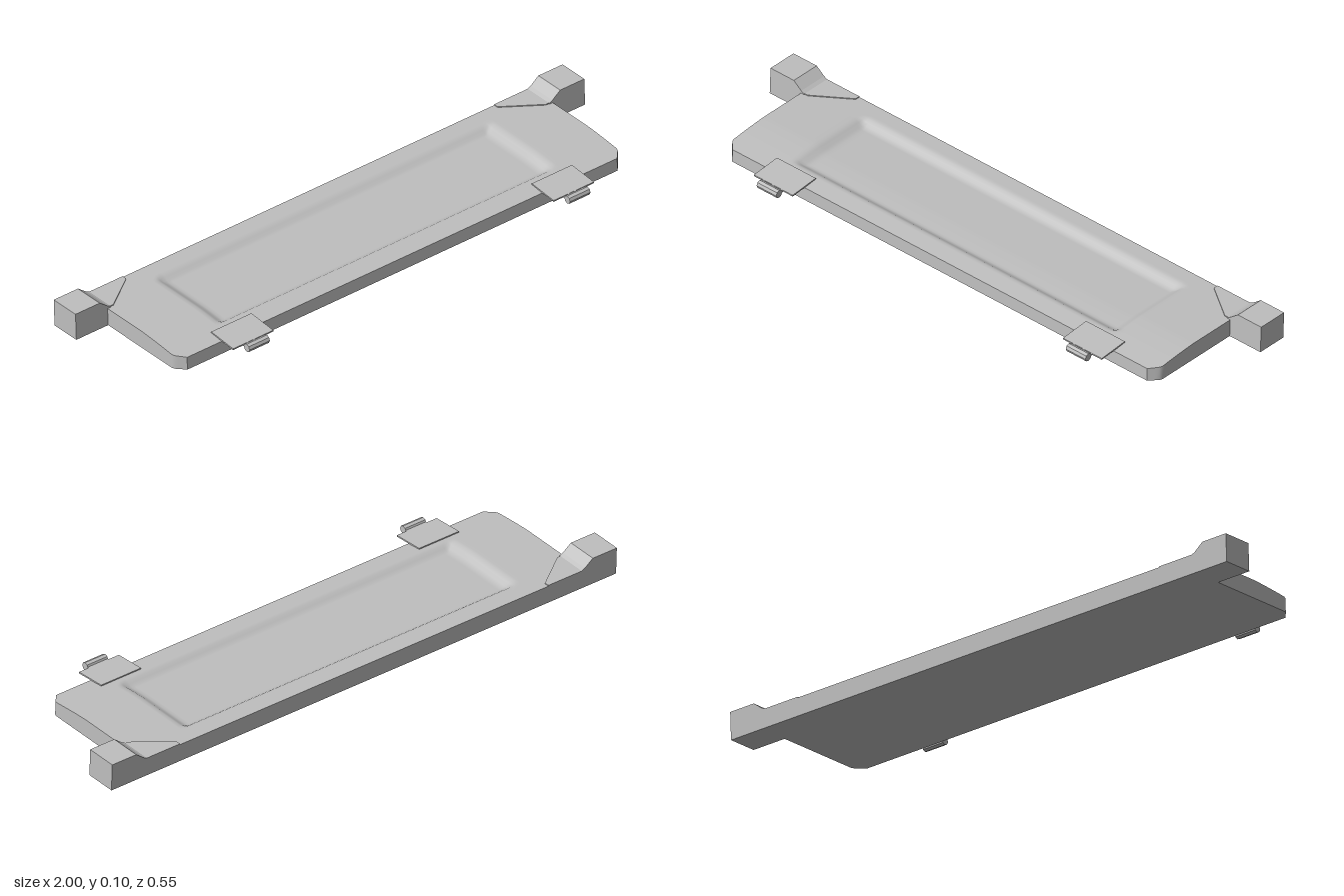
import * as THREE from 'three';

const grey = new THREE.MeshStandardMaterial({ color: 0xbfbfbf });
grey.name = 'lightGrey';

const TILT = 0.042; // the tray leans back slightly
const BACK = -0.272, FRONT = 0.188, HALF = 0.875;

function part(name, geometry, parent) {
  const mesh = new THREE.Mesh(geometry, grey);
  mesh.name = name;
  parent.add(mesh);
  return mesh;
}

// Upper surface: flat at the back, falling to the front, with a shallow rounded basin
function topHeight(x, z) {
  const crown = 0.061 - 0.016 * Math.pow(Math.max(z, 0) / FRONT, 1.4);
  const r = 0.03;
  const dx = Math.abs(x) - (0.665 - r);
  const dz = Math.abs(z + 0.045) - (0.168 - r);
  const dist = Math.hypot(Math.max(dx, 0), Math.max(dz, 0)) + Math.min(Math.max(dx, dz), 0) - r;
  return crown - 0.02 * THREE.MathUtils.smoothstep(-dist, 0, 0.04);
}

function trayGeometry() {
  const depth = FRONT - BACK;
  const geo = new THREE.BoxGeometry(HALF * 2, 1, depth, 140, 1, 48);
  const p = geo.attributes.position;
  for (let i = 0; i < p.count; i++) {
    const z = p.getZ(i) + (FRONT + BACK) / 2;
    // cut the two front corners
    const x = p.getX(i) * (1 - Math.max(0, z - 0.155) * 0.9 / HALF);
    p.setXYZ(i, x, p.getY(i) > 0 ? topHeight(x, z) : 0, z);
  }
  geo.computeVertexNormals();
  return geo;
}

function extrude(points, depth) {
  const shape = new THREE.Shape(points.map(([x, y]) => new THREE.Vector2(x, y)));
  return new THREE.ExtrudeGeometry(shape, { depth, bevelEnabled: false });
}

export function createModel() {
  const model = new THREE.Group();
  model.name = 'trayAssembly';

  const body = new THREE.Group();
  body.name = 'trayBody';
  body.rotation.x = -TILT;
  body.position.y = 0.0125;
  model.add(body);
  part('tray', trayGeometry(), body);

  for (const side of [1, -1]) {
    const label = side > 0 ? 'left' : 'right';

    // Mounting block with a sloped inner shoulder
    const profile = [[1, 0], [1, 0.094], [0.905, 0.094], [0.874, 0.07], [0.862, 0.064], [0.862, 0]]
      .map(([x, y]) => [x * side, y]);
    part(label + 'MountBlock', extrude(profile, 0.107), body).position.z = BACK;

    // Thin gusset spreading from the block over the tray's back corner
    const gusset = [[0.88, -BACK], [0.73, -BACK], [0.73, 0.255], [0.85, 0.168], [0.88, 0.168]]
      .map(([x, z]) => [x * side, z]);
    const plate = part(label + 'Gusset', extrude(gusset, 0.01), body);
    plate.rotation.x = -Math.PI / 2;
    plate.position.y = 0.054;

    // Hinge clip: thin leaf on the front rim ending in a short octagonal pin
    const clip = new THREE.Group();
    clip.name = label + 'HingeClip';
    clip.position.x = 0.63 * side;
    model.add(clip);
    const leaf = part('hingeLeaf', new THREE.BoxGeometry(0.158, 0.005, 0.108), clip);
    leaf.position.set(0, 0.068, 0.188);
    leaf.rotation.x = 0.04;
    part('hingeTab', new THREE.BoxGeometry(0.08, 0.005, 0.02), clip).position.set(0, 0.065, 0.245);
    const pin = part('hingePin', new THREE.CylinderGeometry(0.014, 0.014, 0.08, 8).toNonIndexed(), clip);
    pin.geometry.computeVertexNormals();
    pin.rotation.z = Math.PI / 2;
    pin.position.set(0, 0.064, 0.26);
  }
  return model;
}
